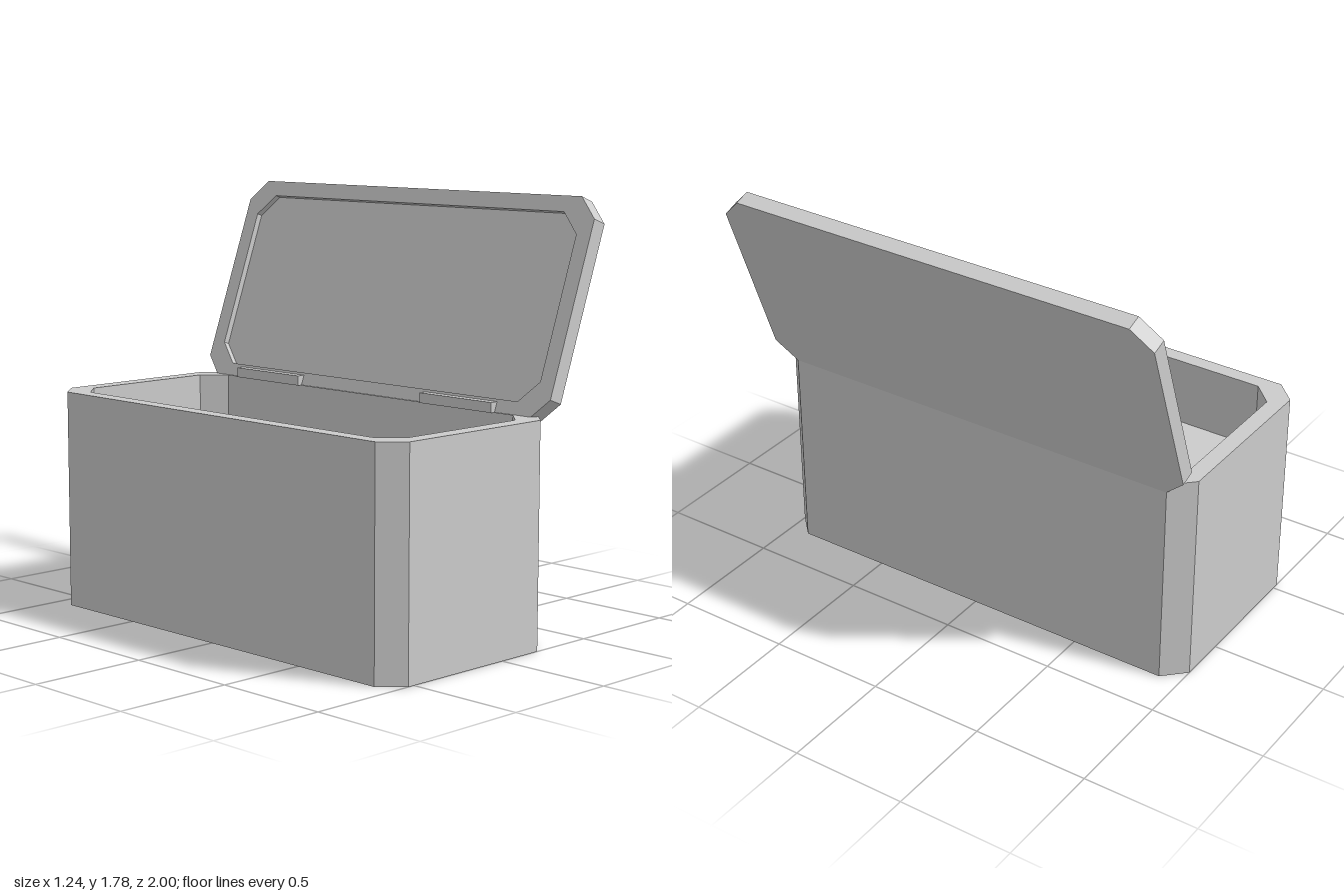
import * as THREE from 'three';

const WIDTH = 0.92, LENGTH = 2, WALL = 0.067, CHAMFER = 0.09;

// Corner points of a rectangle with cut corners
function octagon(w, l, c) {
  const x = w / 2, y = l / 2;
  return [
    [x, -y + c], [x, y - c], [x - c, y], [-x + c, y],
    [-x, y - c], [-x, -y + c], [-x + c, -y], [x - c, -y],
  ].map(([px, py]) => new THREE.Vector2(px, py));
}

function extrudeUp(shape, depth) {
  const geometry = new THREE.ExtrudeGeometry(shape, { depth, bevelEnabled: false });
  return geometry.rotateX(-Math.PI / 2);
}

// Shallow tray: a full-height rim around a lower inner panel
function tray(name, height, panelHeight, material) {
  const group = new THREE.Group();
  group.name = name;
  const inner = octagon(WIDTH - 2 * WALL, LENGTH - 2 * WALL - 0.01, CHAMFER);
  const rimShape = new THREE.Shape(octagon(WIDTH, LENGTH, CHAMFER));
  rimShape.holes.push(new THREE.Path(inner));

  const rim = new THREE.Mesh(extrudeUp(rimShape, height), material);
  rim.name = name + 'Rim';
  const panel = new THREE.Mesh(extrudeUp(new THREE.Shape(inner), panelHeight), material);
  panel.name = name + 'Panel';
  group.add(rim, panel);
  return group;
}

export function createModel() {
  const model = new THREE.Group();
  model.name = 'openChest';
  const grey = new THREE.MeshStandardMaterial({ color: 0xcccccc });
  grey.name = 'light grey';

  // Chest body with its raised inner floor
  const body = tray('body', 0.925, 0.63, grey);
  body.position.x = -0.16;
  model.add(body);

  // Lid, swung open about its lower outer edge
  const lid = tray('lid', 0.068, 0.042, grey);
  lid.position.x = WIDTH / 2;
  const lidPivot = new THREE.Group();
  lidPivot.name = 'lidPivot';
  lidPivot.position.set(0.301, 0.89, 0);
  lidPivot.rotation.z = THREE.MathUtils.degToRad(70);
  lidPivot.add(lid);
  model.add(lidPivot);

  // Two hinge blocks on the rim
  for (const [name, z] of [['rearHinge', -0.57], ['frontHinge', 0.54]]) {
    const hinge = new THREE.Mesh(new THREE.BoxGeometry(0.063, 0.042, 0.39), grey);
    hinge.name = name;
    hinge.position.set(0.252, 0.945, z);
    model.add(hinge);
  }
  return model;
}
